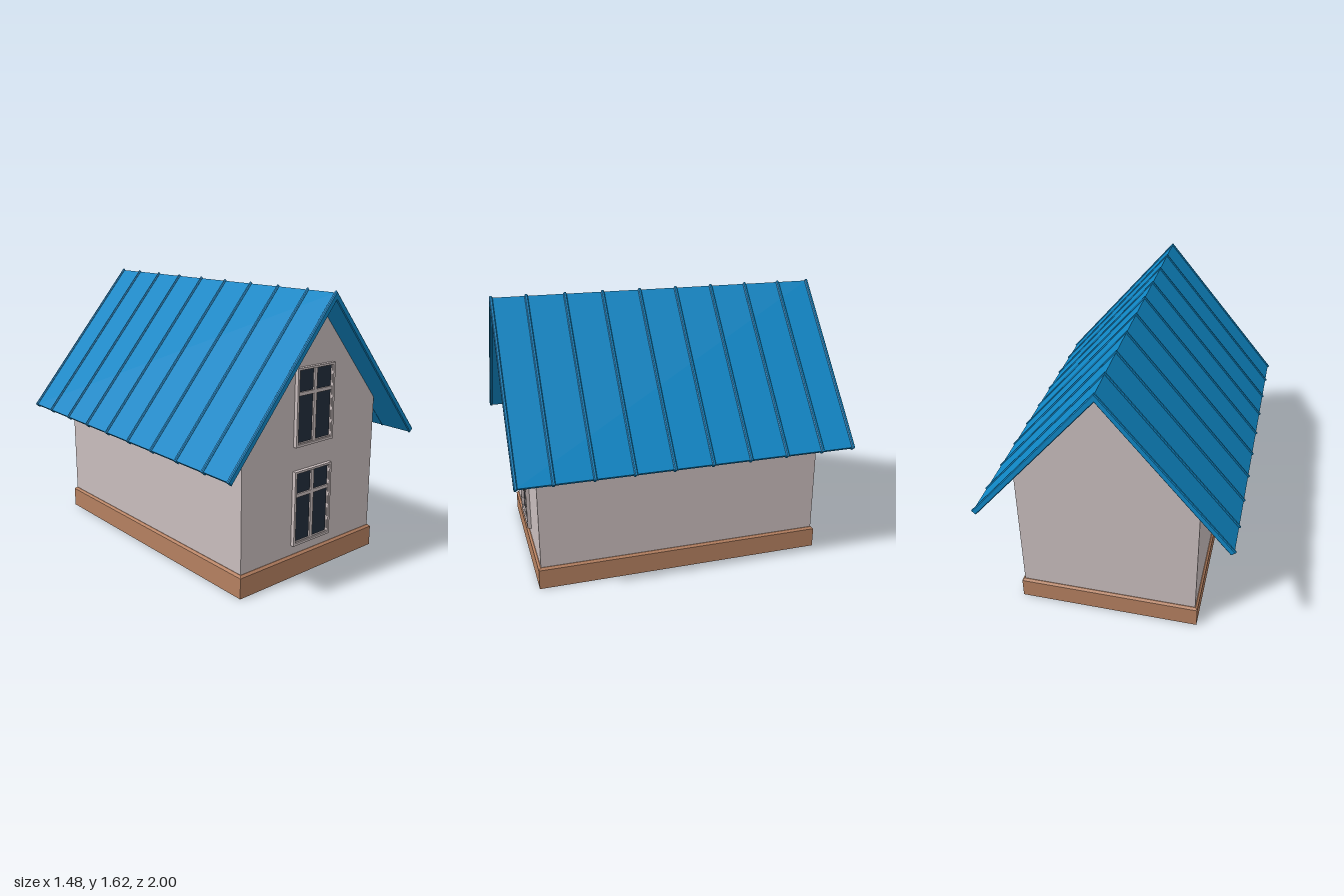
import * as THREE from 'three';

const material = (name, color) => Object.assign(new THREE.MeshStandardMaterial({ color }), { name });

export function createModel() {
  const house = new THREE.Group();
  house.name = 'house';
  const wallPaint = material('wall plaster', 0xc9bdbd);
  const roofPaint = material('blue metal roof', 0x0f87c6);
  const basePaint = material('brown foundation', 0xb58060);
  const glassPaint = material('dark glass', 0x222d3b);

  const add = (parent, name, geometry, mat, x = 0, y = 0, z = 0) => {
    const mesh = new THREE.Mesh(geometry, mat);
    mesh.name = name;
    mesh.position.set(x, y, z);
    parent.add(mesh);
    return mesh;
  };
  const shapeOf = (pts) => new THREE.Shape(pts.map(([x, y]) => new THREE.Vector2(x, y)));
  const rect = (x0, y0, x1, y1) => [[x0, y0], [x1, y0], [x1, y1], [x0, y1]];
  const extrude = (shape, depth, bevel = 0) => new THREE.ExtrudeGeometry(shape, {
    depth, bevelEnabled: bevel > 0, bevelSize: bevel, bevelThickness: bevel, bevelSegments: 1,
  });

  // Foundation with a small chamfered lip
  add(house, 'foundation', new THREE.BoxGeometry(1.08, 0.12, 1.75), basePaint, 0, 0.06, 0);
  const lip = new THREE.BoxGeometry(1.08, 0.012, 1.75);
  const p = lip.attributes.position;
  for (let i = 0; i < p.count; i++) {
    if (p.getY(i) > 0) {
      p.setX(i, p.getX(i) - Math.sign(p.getX(i)) * 0.012);
      p.setZ(i, p.getZ(i) - Math.sign(p.getZ(i)) * 0.012);
    }
  }
  lip.computeVertexNormals();
  add(house, 'foundationLip', lip, basePaint, 0, 0.126, 0);

  // Gabled walls
  const gable = shapeOf([[-0.525, 0.125], [0.525, 0.125], [0.525, 0.96], [0, 1.582], [-0.525, 0.96]]);
  add(house, 'walls', extrude(gable, 1.72), wallPaint, 0, 0, -0.86);

  // Roof cross-section: offsets are measured square to the slope
  const dx = 0.645, dy = 0.764, ridge = 1.608, slope = 1.132;
  const chevron = (top, bottom, extra) => {
    const eave = (offset) => [
      dx * (slope + extra) + dy * offset,
      ridge - dy * (slope + extra) + dx * offset,
    ];
    const [a, b] = [eave(top), eave(bottom)];
    return shapeOf([
      [0, ridge + top / dx], [-a[0], a[1]], [-b[0], b[1]],
      [0, ridge + bottom / dx], b, a,
    ]);
  };
  add(house, 'roofPanels', extrude(chevron(0, -0.026, 0), 1.98), roofPaint, 0, 0, -0.99);

  // Standing seams
  for (const z of [0.113, 0.34, 0.565, 0.79, 0.99]) {
    for (const side of [-1, 1]) {
      add(house, 'roofSeam', extrude(chevron(0.002, -0.022, 0.001), 0.01, 0.005),
        roofPaint, 0, 0, side * z - 0.005);
    }
  }

  // Two front windows, each with four panes
  const panes = [rect(-0.13, 0.02, -0.011, 0.285), rect(0.011, 0.02, 0.13, 0.285),
    rect(-0.13, 0.305, -0.011, 0.425), rect(0.011, 0.305, 0.13, 0.425)];
  const frameWith = (outer, holes) => {
    const shape = shapeOf(outer);
    shape.holes = holes.map((h) => new THREE.Path(shapeOf(h).getPoints()));
    return shape;
  };
  for (const [name, y] of [['lowerWindow', 0.19], ['upperWindow', 0.77]]) {
    const window = new THREE.Group();
    window.name = name;
    window.position.set(0, y, 0.86);
    const casing = frameWith(rect(-0.147, 0, 0.147, 0.44), [rect(-0.133, 0.014, 0.133, 0.428)]);
    add(window, 'casing', extrude(casing, 0.022), wallPaint);
    const sash = frameWith(rect(-0.134, 0.013, 0.134, 0.429), panes);
    add(window, 'sash', extrude(sash, 0.014), wallPaint);
    add(window, 'glass', new THREE.BoxGeometry(0.266, 0.414, 0.004), glassPaint, 0, 0.221, 0.003);
    house.add(window);
  }
  return house;
}
